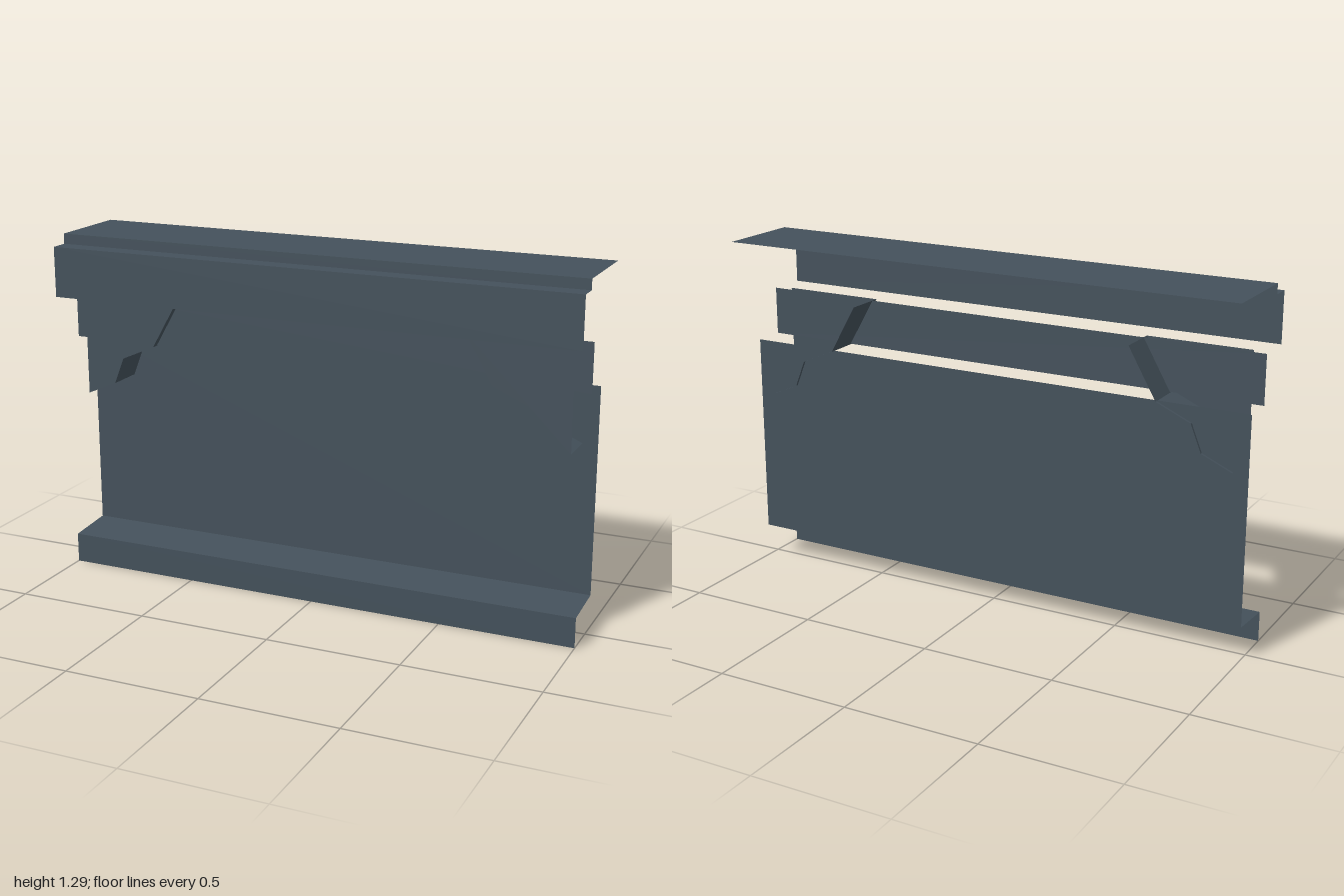
import * as THREE from 'three';

const slate = new THREE.MeshStandardMaterial({ color: 0x44515b, side: THREE.DoubleSide, flatShading: true });
slate.name = 'slate';

function sheet(name, rows) {
  // joins consecutive pairs of edge points into flat quads
  const pos = [];
  for (let i = 0; i < rows.length - 1; i++) {
    const [a, b] = rows[i], [c, d] = rows[i + 1];
    pos.push(...a, ...c, ...d, ...a, ...d, ...b);
  }
  const geo = new THREE.BufferGeometry();
  geo.setAttribute('position', new THREE.Float32BufferAttribute(pos, 3));
  geo.computeVertexNormals();
  const mesh = new THREE.Mesh(geo, slate);
  mesh.name = name;
  return mesh;
}

// full-width moulding from a [y, z] profile, listed top to bottom
const moulding = (name, profile) =>
  sheet(name, profile.map(([y, z]) => [[-1, y, z], [1, y, z]]));

// bracket with a front face and a stepped underside, open at the side and top
function bracket(name, side) {
  const front = 0.087, back = -0.065;
  const steps = [[0.945, 0.68], [0.83, 0.73], [0.79, 0.83], [0.66, 0.887], [0.555, 1.07]]
    .map(([x, y]) => [x * side, y]);
  const group = new THREE.Group();
  group.name = name;

  const outline = new THREE.Shape([[0.945 * side, 1.07], ...steps].map(([x, y]) => new THREE.Vector2(x, y)));
  const face = new THREE.Mesh(new THREE.ShapeGeometry(outline), slate);
  face.name = 'bracketFace';
  face.position.z = front;

  // walk the steps so that the quads face down and inward
  const rows = steps.map(([x, y]) => {
    const edge = [[x, y, front], [x, y, back]];
    return side > 0 ? edge : edge.reverse();
  });
  group.add(face, sheet('bracketUnderside', rows));
  return group;
}

export function createModel() {
  const model = new THREE.Group();
  model.name = 'panelledCounter';

  // top slab, lip, ledge and fascia
  model.add(moulding('countertop', [[1.295, -0.2], [1.295, 0.13], [1.257, 0.13], [1.257, 0.2], [1.07, 0.2]]));
  // recessed band under the fascia
  model.add(moulding('frieze', [[1.07, 0.06], [0.89, 0.06]]));
  // main wall, sloping ledge and skirting
  model.add(moulding('wallAndBase', [[0.89, -0.055], [0.126, -0.055], [0.112, 0.13], [0, 0.13]]));

  model.add(bracket('leftBracket', 1), bracket('rightBracket', -1));
  return model;
}
